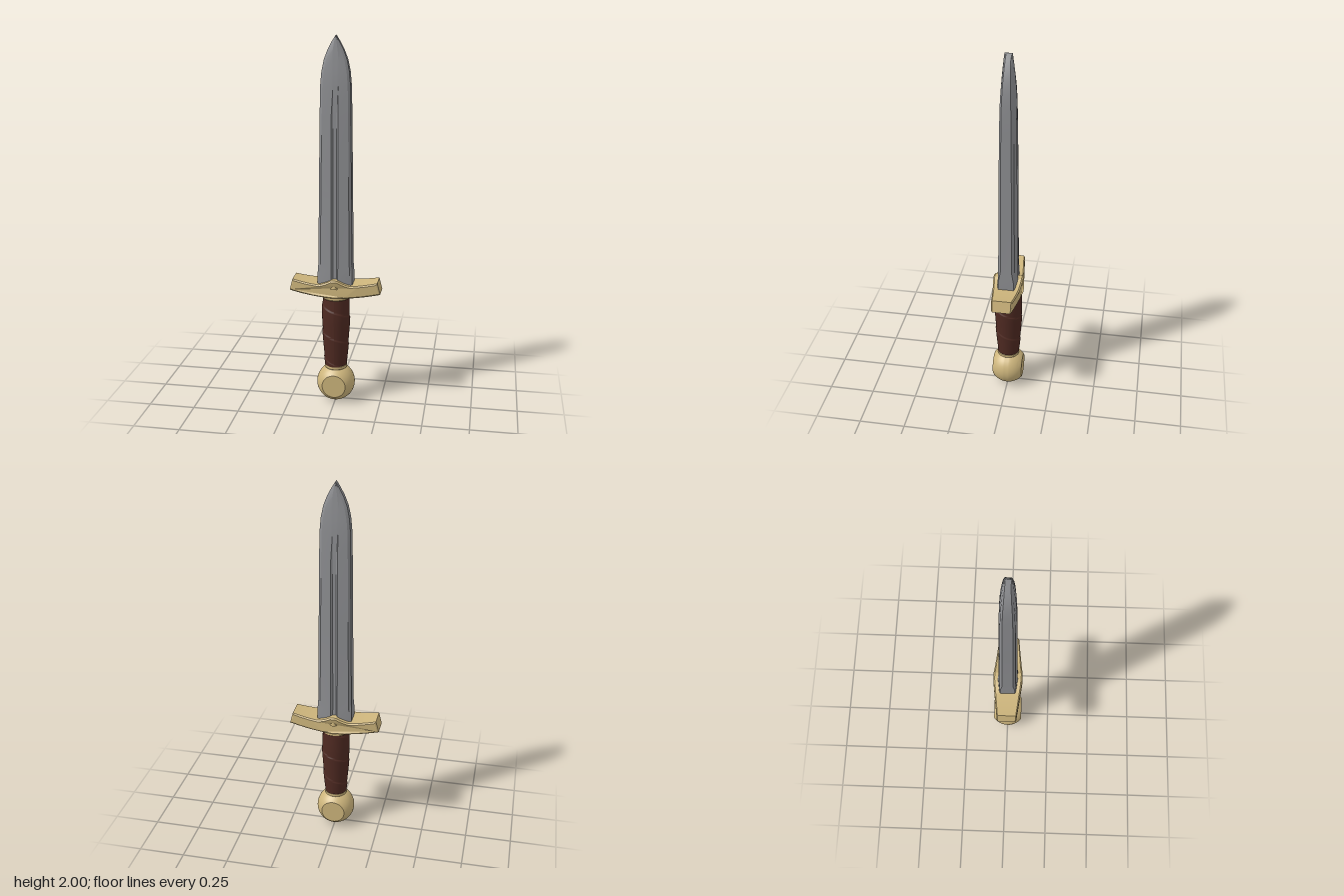
import * as THREE from 'three';
import { toCreasedNormals } from 'three/addons/utils/BufferGeometryUtils.js';

const mat = (name, color) => {
  const m = new THREE.MeshStandardMaterial({ color });
  m.name = name;
  return m;
};

// Blade stations: height, half width, half thickness, groove depth
const STATIONS = [
  [0.64, 0.095, 0.056, 0.014], [0.74, 0.094, 0.055, 0.014], [0.8, 0.091, 0.052, 0.013],
  [1.2, 0.086, 0.049, 0.01], [1.6, 0.081, 0.044, 0.006], [1.75, 0.078, 0.04, 0],
  [1.82, 0.072, 0.036, 0], [1.88, 0.06, 0.031, 0], [1.93, 0.041, 0.027, 0],
  [1.97, 0.02, 0.023, 0], [2.0, 0.001, 0.02, 0],
];

// Bevelled cross-section with a central groove on both faces
function bladeRing([y, w, d, groove]) {
  const b = Math.min(0.013, 0.3 * w), g = Math.min(0.018, 0.3 * w);
  const edge = y < 0.78 ? 0.75 : 0.58;
  const q = [[0, d - groove], [g * 0.5, d - groove], [g, d], [w - b, 0.84 * d], [w, edge * d]];
  const r = [...q].reverse();
  return [
    ...q, ...r.map(([x, z]) => [x, -z]),
    ...q.slice(1).map(([x, z]) => [-x, -z]), ...r.slice(0, -1).map(([x, z]) => [-x, z]),
  ].map(([x, z]) => [x, y, z]);
}

function bladeGeometry() {
  const rings = STATIONS.map(bladeRing);
  const n = rings[0].length, index = [];
  for (let i = 0; i < rings.length - 1; i++) {
    for (let j = 0; j < n; j++) {
      const k = (j + 1) % n, a = i * n, c = a + n;
      index.push(a + j, a + k, c + k, a + j, c + k, c + j);
    }
  }
  // Close the narrow tip
  const top = (rings.length - 1) * n;
  for (let j = 1; j < n - 1; j++) index.push(top, top + j, top + j + 1);
  const geo = new THREE.BufferGeometry();
  geo.setAttribute('position', new THREE.Float32BufferAttribute(rings.flat(2), 3));
  geo.setIndex(index);
  return toCreasedNormals(geo, 0.25);
}

// Curved crossguard, thinning towards both ends
function guardGeometry() {
  const s = new THREE.Shape();
  const bev = 0.007;
  s.moveTo(0, 0.627);
  s.quadraticCurveTo(0.12, 0.627, 0.238, 0.652);
  s.lineTo(0.225, 0.702);
  s.quadraticCurveTo(0.15, 0.686, 0.085, 0.683);
  s.quadraticCurveTo(0.04, 0.695, 0.015, 0.712);
  s.lineTo(-0.015, 0.712);
  s.quadraticCurveTo(-0.04, 0.695, -0.085, 0.683);
  s.quadraticCurveTo(-0.15, 0.686, -0.225, 0.702);
  s.lineTo(-0.238, 0.652);
  s.quadraticCurveTo(-0.12, 0.627, 0, 0.627);
  const geo = new THREE.ExtrudeGeometry(s, {
    depth: 0.152, bevelEnabled: true, bevelThickness: 0.008, bevelSize: bev, bevelSegments: 1, curveSegments: 8,
  });
  geo.translate(0, 0, -0.076);
  const p = geo.attributes.position;
  for (let i = 0; i < p.count; i++) {
    p.setZ(i, p.getZ(i) * (1 - 0.36 * Math.abs(p.getX(i)) / 0.245));
  }
  return toCreasedNormals(geo, 0.5);
}

// Grip with overlapping spiral leather turns
function gripGeometry() {
  const curve = new THREE.SplineCurve([
    [0.06, 0.21], [0.066, 0.28], [0.073, 0.4], [0.076, 0.5], [0.071, 0.61],
  ].map(([x, y]) => new THREE.Vector2(x, y)));
  const geo = new THREE.LatheGeometry(curve.getPoints(110), 32);
  const p = geo.attributes.position;
  for (let i = 0; i < p.count; i++) {
    const x = p.getX(i), y = p.getY(i), z = p.getZ(i);
    const turn = y / 0.155 + Math.atan2(x, z) / (2 * Math.PI) + 0.56;
    const f = 1 + 0.05 * (turn - Math.floor(turn) - 0.5);
    p.setX(i, x * f);
    p.setZ(i, z * f);
  }
  geo.computeVertexNormals();
  return geo;
}

// Metal ring with rounded rim
function ringGeometry(r, y0, y1) {
  const c = 0.005;
  const pts = [[0, y0], [r - c, y0], [r, y0 + c], [r, y1 - c], [r - c, y1], [0, y1]];
  return toCreasedNormals(new THREE.LatheGeometry(pts.map(([x, y]) => new THREE.Vector2(x, y)), 32), 0.5);
}

// Ball with flat discs at front and back
function pommelGeometry() {
  const R = 0.105, cut = Math.asin(0.083 / R), pts = [new THREE.Vector2(0, -0.083)];
  for (let i = 0; i <= 20; i++) {
    const a = -cut + (2 * cut * i) / 20;
    pts.push(new THREE.Vector2(R * Math.cos(a), R * Math.sin(a)));
  }
  pts.push(new THREE.Vector2(0, 0.083));
  const geo = new THREE.LatheGeometry(pts, 40);
  geo.rotateX(Math.PI / 2);
  geo.translate(0, R, 0);
  return toCreasedNormals(geo, 0.5);
}

export function createModel() {
  const steel = mat('steel', 0x8e8f92);
  const brass = mat('brass', 0xcdb57c);
  const leather = mat('leather', 0x4f2a22);
  const group = new THREE.Group();
  group.name = 'dagger';
  const add = (name, geo, material) => {
    const m = new THREE.Mesh(geo, material);
    m.name = name;
    group.add(m);
    return m;
  };

  add('blade', bladeGeometry(), steel);
  add('crossguard', guardGeometry(), brass);
  // Small rounded tongues filling the grooves at the blade root
  for (const side of [1, -1]) {
    const t = add('guardTongue', new THREE.CylinderGeometry(0.014, 0.02, 0.05, 16), brass);
    t.position.set(0, 0.694, side * 0.058);
  }
  add('upperCollar', ringGeometry(0.076, 0.603, 0.63), brass);
  add('grip', gripGeometry(), leather);
  add('lowerCollar', ringGeometry(0.061, 0.192, 0.216), brass);
  add('pommel', pommelGeometry(), brass);
  return group;
}
